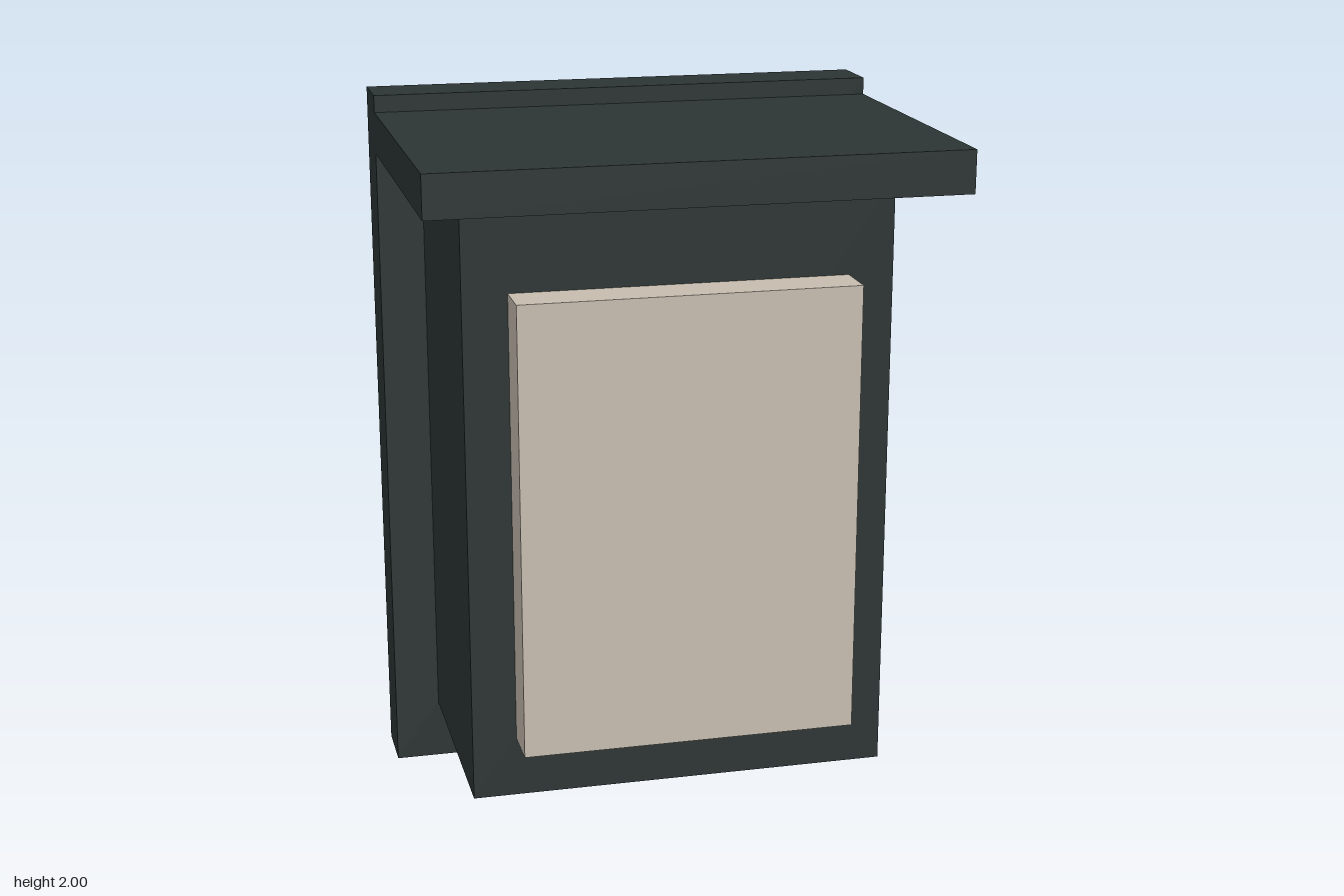
import * as THREE from 'three';

export function createModel() {
  const group = new THREE.Group();

  const darkCasing = new THREE.MeshStandardMaterial({ color: 0x2d3635 });
  darkCasing.name = 'dark casing';
  const paleFace = new THREE.MeshStandardMaterial({ color: 0xc9c0b2 });
  paleFace.name = 'pale panel';

  // Box given by its extents along each axis
  function addBox(name, material, [x0, x1], [y0, y1], [z0, z1]) {
    const mesh = new THREE.Mesh(new THREE.BoxGeometry(x1 - x0, y1 - y0, z1 - z0), material);
    mesh.position.set((x0 + x1) / 2, (y0 + y1) / 2, (z0 + z1) / 2);
    mesh.name = name;
    group.add(mesh);
  }

  // Wall-side board, taller than the rest
  addBox('backBoard', darkCasing, [-0.708, 0.708], [0, 2], [-0.542, -0.376]);
  // Main box
  addBox('body', darkCasing, [-0.581, 0.581], [0.17, 1.838], [-0.376, 0.292]);
  // Overhanging flat roof
  addBox('roof', darkCasing, [-0.708, 0.708], [1.838, 1.953], [-0.376, 0.542]);
  // Raised front panel
  addBox('frontPanel', paleFace, [-0.46, 0.458], [0.337, 1.585], [0.292, 0.418]);

  return group;
}
